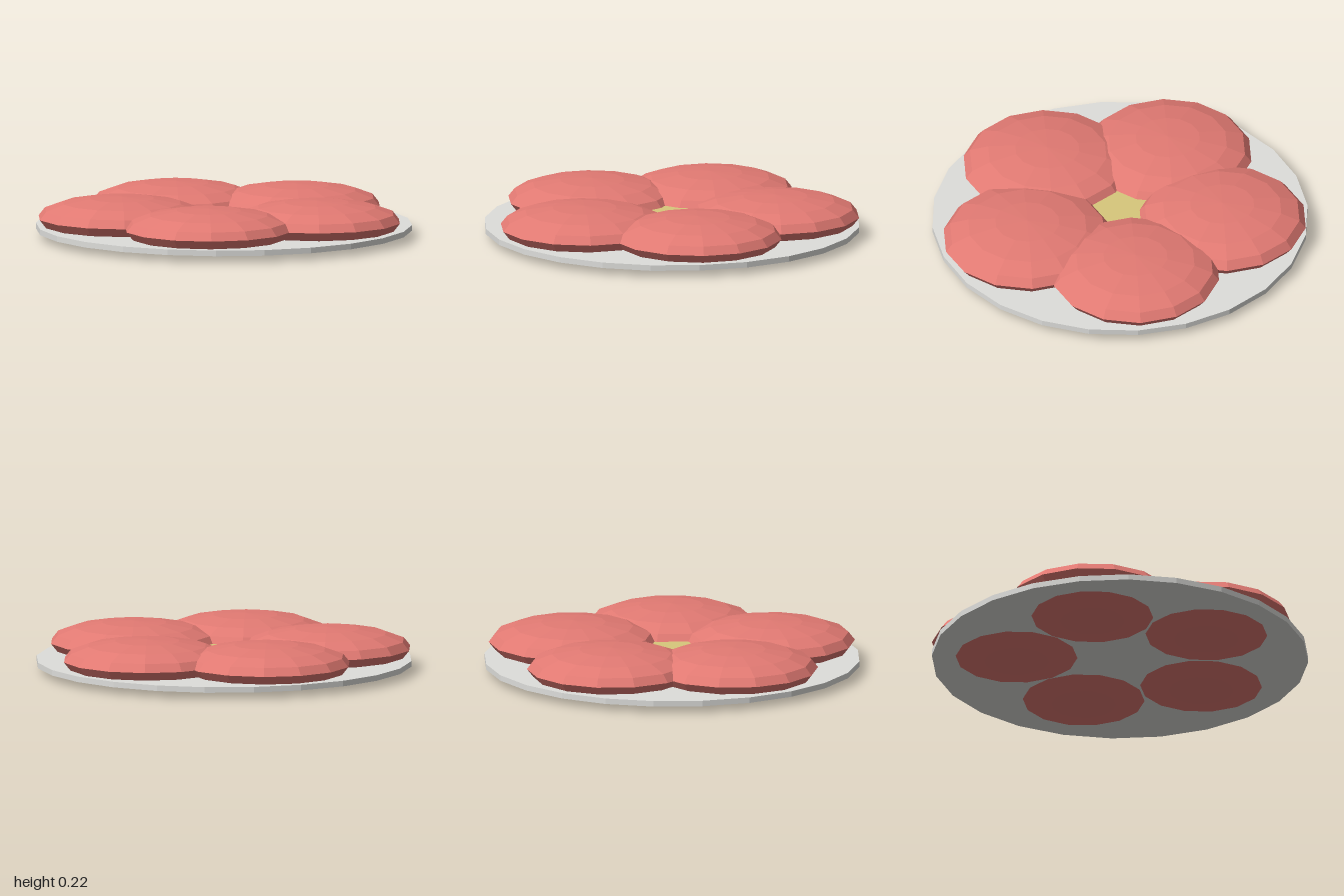
import * as THREE from 'three';

export function createModel() {
  const flower = new THREE.Group();
  flower.name = 'flower';

  const flat = (name, color) => {
    const m = new THREE.MeshStandardMaterial({ color, flatShading: true });
    m.name = name;
    return m;
  };
  const plateGrey = flat('plate grey', 0xdededb);
  const petalRed = flat('petal red', 0xe27a73);
  const centreYellow = flat('centre yellow', 0xd8c77c);

  const add = (name, geometry, material, x, y, z) => {
    const mesh = new THREE.Mesh(geometry, material);
    mesh.name = name;
    mesh.position.set(x, y, z);
    flower.add(mesh);
  };

  // Thin round plate that the petals sit through
  add('plate', new THREE.CylinderGeometry(1, 1, 0.03, 24), plateGrey, 0, 0.05, 0);

  // Flat disc seen in the gap between the petals
  add('centre', new THREE.CylinderGeometry(0.22, 0.22, 0.06, 20), centreYellow, 0, 0.09, 0);

  // Five flattened petals in a ring, the first at the back; all facets share one orientation
  const petal = new THREE.SphereGeometry(0.45, 14, 8);
  petal.rotateY(Math.PI / 2);
  petal.scale(1, 0.25, 1);
  for (let i = 0; i < 5; i++) {
    const a = (i * Math.PI * 2) / 5;
    add(`petal${i + 1}`, petal, petalRed, 0.55 * Math.sin(a), 0.1125, -0.55 * Math.cos(a));
  }

  return flower;
}
